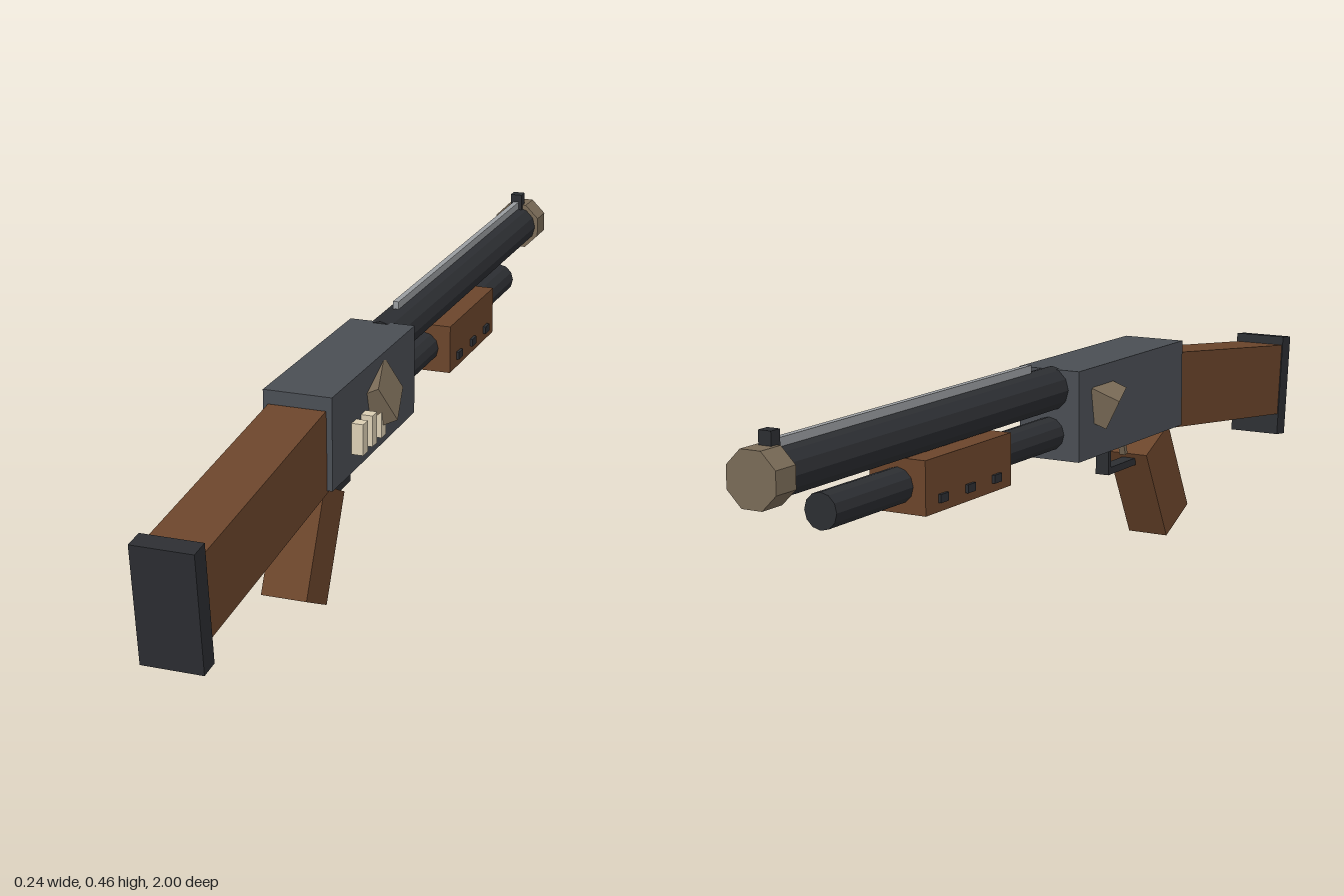
import * as THREE from 'three';

const mat = (color) => new THREE.MeshStandardMaterial({ color, flatShading: true });

export function createModel() {
  const group = new THREE.Group();
  const wood = mat(0x6b452b), steel = mat(0x2c2e32), body = mat(0x4a4e54);
  const wrap = mat(0x7a6b57), shell = mat(0xdccfb4), bright = mat(0x9a9da0);

  function add(name, geometry, material, x, y, z, tilt = 0) {
    const mesh = new THREE.Mesh(geometry, material);
    mesh.name = name;
    mesh.position.set(x, y, z);
    mesh.rotation.x = tilt;
    group.add(mesh);
    return mesh;
  }
  const box = (name, material, size, pos, tilt) =>
    add(name, new THREE.BoxGeometry(...size), material, ...pos, tilt);
  // Cylinder lying along z between two z values
  function rod(name, material, r, sides, y, z0, z1, turn = 0) {
    const g = new THREE.CylinderGeometry(r, r, Math.abs(z1 - z0), sides);
    g.rotateY(turn).rotateX(Math.PI / 2);
    return add(name, g, material, 0, y, (z0 + z1) / 2);
  }
  // Skewed block given one outer corner, two face edges and an inward depth
  function patch(name, corner, edgeA, edgeB, depth) {
    const p = new THREE.Vector3(...corner);
    const a = new THREE.Vector3(...edgeA), b = new THREE.Vector3(...edgeB);
    const mesh = box(name, wrap, [a.length(), b.length(), depth], [0, 0, 0]);
    const u = a.clone().normalize();
    const w = u.clone().cross(b).normalize();
    const v = w.clone().cross(u);
    mesh.quaternion.setFromRotationMatrix(new THREE.Matrix4().makeBasis(u, v, w));
    mesh.position.copy(p).addScaledVector(a, 0.5).addScaledVector(b, 0.5).addScaledVector(w, depth / 2);
  }

  // Receiver, barrel and magazine
  box('receiver', body, [0.136, 0.183, 0.45], [0, 0.335, 0.193]);
  rod('barrel', steel, 0.044, 12, 0.387, -0.02, -0.95);
  rod('magazineTube', steel, 0.034, 12, 0.296, -0.02, -0.81);
  rod('muzzleBand', wrap, 0.0545, 8, 0.387, -0.945, -1, Math.PI / 8);
  box('barrelRib', bright, [0.012, 0.016, 0.83], [0, 0.438, -0.525]);
  box('frontSight', steel, [0.026, 0.04, 0.025], [0, 0.443, -0.948]);

  // Pump handle with dark studs on both sides
  box('pump', wood, [0.12, 0.102, 0.295], [0, 0.296, -0.427]);
  for (const side of [1, -1])
    for (const z of [-0.335, -0.428, -0.52])
      box('pumpStud', steel, [0.014, 0.016, 0.026], [side * 0.059, 0.27, z]);

  // Stock, butt pad and grip
  box('stock', wood, [0.114, 0.162, 0.54], [0, 0.29, 0.68], 0.11);
  box('buttPad', steel, [0.118, 0.229, 0.041], [0, 0.244, 0.967], 0.11);
  box('grip', wood, [0.091, 0.217, 0.112], [0, 0.123, 0.398], -0.46);

  // Trigger and guard
  box('guardBottom', steel, [0.03, 0.015, 0.12], [0, 0.178, 0.248]);
  box('guardFront', steel, [0.03, 0.075, 0.012], [0, 0.21, 0.194]);
  box('trigger', wrap, [0.014, 0.05, 0.01], [0, 0.222, 0.275], -0.3);

  // Spare shells on the left side
  for (const z of [0.307, 0.257, 0.207])
    box('spareShell', shell, [0.028, 0.062, 0.025], [0.077, 0.312, z]);

  // Patches on either flank
  patch('leftPatch', [0.09, 0.385, 0.235], [-0.025, 0.03, -0.1], [0.029, -0.068, -0.027], 0.045);
  patch('rightPatch', [-0.12, 0.36, 0.04], [0.027, 0.014, 0.08], [0.03, -0.059, 0], 0.06);

  return group;
}
